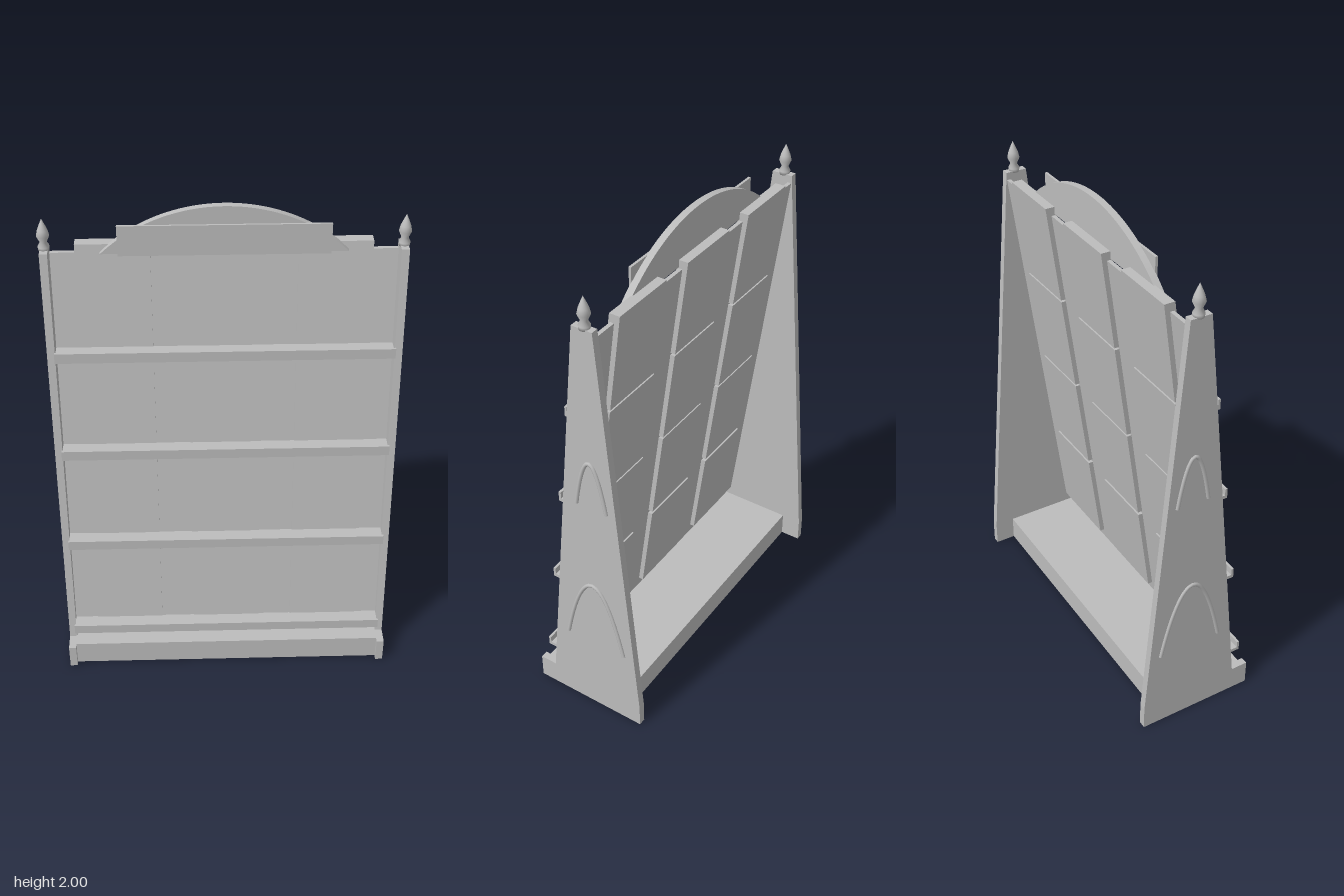
import * as THREE from 'three';

const grey = new THREE.MeshStandardMaterial({ color: 0xbcbcbc });
grey.name = 'lightGrey';

export function createModel() {
  const root = new THREE.Group();
  root.name = 'displayRack';

  const add = (name, geometry) => {
    const mesh = new THREE.Mesh(geometry, grey);
    mesh.name = name;
    root.add(mesh);
    return mesh;
  };
  const box = (name, x0, x1, y0, y1, z0, z1) =>
    add(name, new THREE.BoxGeometry(x1 - x0, y1 - y0, z1 - z0)
      .translate((x0 + x1) / 2, (y0 + y1) / 2, (z0 + z1) / 2));
  // Extrude a [z, y] outline across x
  const across = (name, outline, x0, x1) => {
    const shape = new THREE.Shape(outline.map(([z, y]) => new THREE.Vector2(z, y)));
    const g = new THREE.ExtrudeGeometry(shape, { depth: x1 - x0, bevelEnabled: false });
    return add(name, g.rotateY(-Math.PI / 2).translate(x1, 0, 0));
  };
  // Front surface of the leaning board
  const boardZ = (y) => -0.03 + (1.42 - y) * 0.137;
  const leaning = (name, x0, x1, y0, y1, front, back) =>
    across(name, [
      [boardZ(y0) + front, y0], [boardZ(y1) + front, y1],
      [boardZ(y1) - back, y1], [boardZ(y0) - back, y0],
    ], x0, x1);

  // Plinth and leaning back board
  box('base', -0.64, 0.64, 0, 0.105, -0.16, 0.225);
  leaning('backBoard', -0.64, 0.64, 0.145, 1.81, 0, 0.016);

  // Shelves with a raised lip, and the panels standing on them
  [[0.17, 0.225], [0.59, 0.17], [1.005, 0.115], [1.42, 0.06]].forEach(([y, z]) => {
    across('shelf', [
      [boardZ(y) - 0.005, y], [z, y], [z, y + 0.042], [z - 0.01, y + 0.042],
      [z - 0.01, y + 0.014], [boardZ(y) - 0.005, y + 0.014],
    ], -0.64, 0.64);
    for (const x of [-0.41, 0, 0.41]) {
      leaning('displayPanel', x - 0.138, x + 0.138, y + 0.018, y + 0.424, 0.008, 0.036);
    }
  });

  // Tapered sides with feet, arched mouldings and finials
  const sideOutline = [
    [0.247, 0], [0.247, 0.105], [0.175, 0.105], [-0.015, 1.84],
    [-0.1, 1.84], [-0.245, 0.1], [-0.245, 0],
  ];
  const finialProfile = [
    [0, 1.835], [0.02, 1.835], [0.022, 1.85], [0.013, 1.868], [0.024, 1.893],
    [0.019, 1.915], [0.009, 1.94], [0, 1.96],
  ].map(([r, y]) => new THREE.Vector2(r, y));
  const arches = [[-0.044, 0.132, 0.36, 0.673], [-0.058, 0.066, 1.07, 1.278]];
  for (const s of [-1, 1]) {
    across('sidePanel', sideOutline, s > 0 ? 0.64 : -0.67, s > 0 ? 0.67 : -0.64);
    add('finial', new THREE.LatheGeometry(finialProfile, 20).translate(s * 0.655, 0, -0.06));
    for (const [zc, half, y0, y1] of arches) {
      const points = [];
      for (let i = 0; i <= 16; i++) {
        const t = i / 8 - 1;
        points.push(new THREE.Vector3(s * 0.67, y1 - (y1 - y0) * t * t, zc + half * t));
      }
      add('sideArch', new THREE.TubeGeometry(new THREE.CatmullRomCurve3(points), 40, 0.008, 8));
    }
  }

  // Arched header with a rectangular sign in front
  const radius = 0.652, half = Math.asin(0.455 / radius);
  const arch = new THREE.Shape();
  arch.absarc(0, 2 - radius, radius, Math.PI / 2 - half, Math.PI / 2 + half, false);
  arch.closePath();
  add('headerArch', new THREE.ExtrudeGeometry(arch, { depth: 0.028, bevelEnabled: false, curveSegments: 32 })
    .translate(0, 0, -0.086));
  box('headerSign', -0.39, 0.39, 1.81, 1.93, -0.06, -0.05);

  return root;
}
